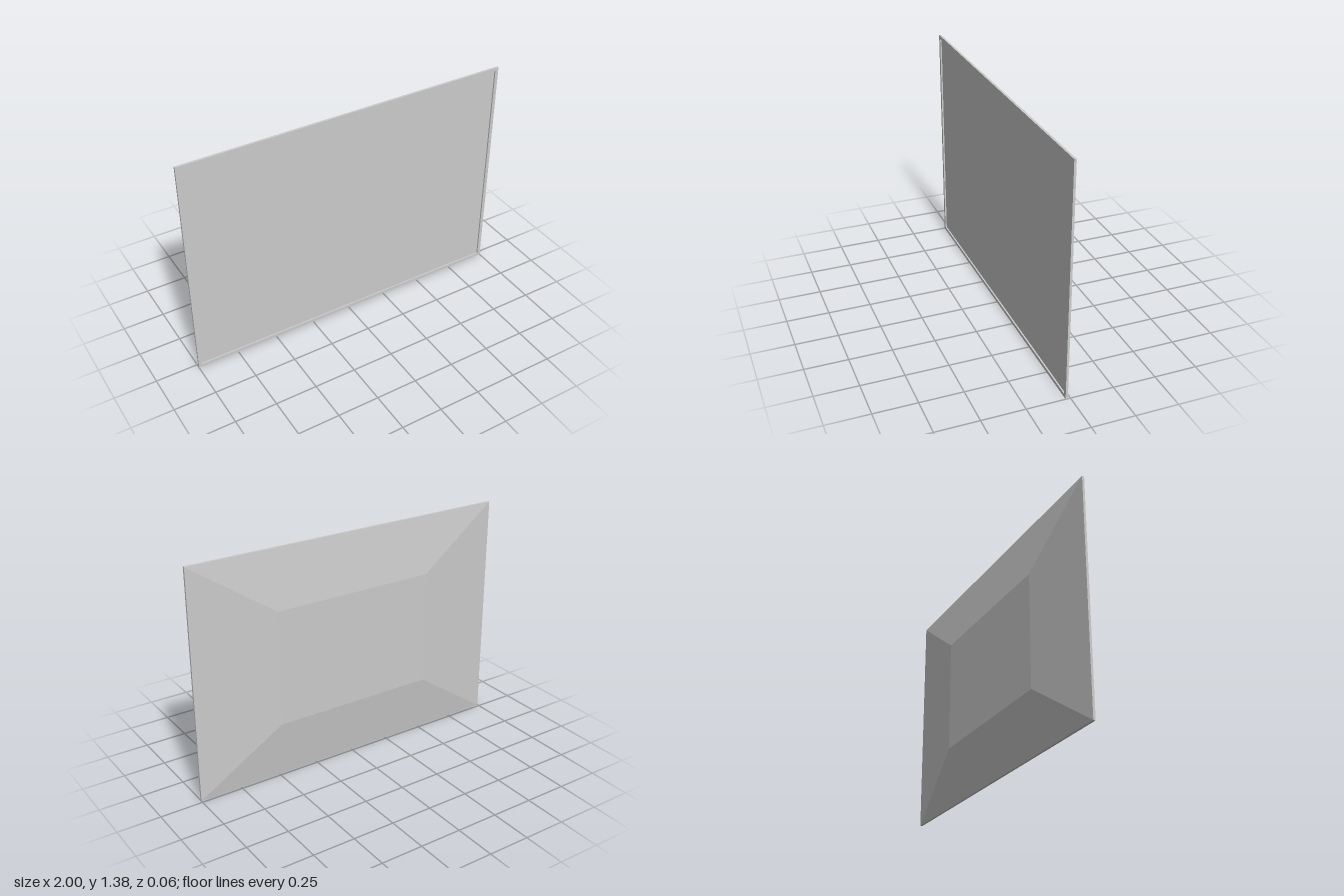
import * as THREE from 'three';

const WIDTH = 2, HEIGHT = 1.375, BORDER = 0.02;
const FRONT_Z = 0.028, FRAME_BACK_Z = 0.015, BACK_Z = -0.028, SCREEN_Z = 0.019;

// Rectangle centred on the origin, as a shape or a hole
function rectangle(PathType, w, h) {
  return new PathType([
    new THREE.Vector2(-w / 2, -h / 2), new THREE.Vector2(w / 2, -h / 2),
    new THREE.Vector2(w / 2, h / 2), new THREE.Vector2(-w / 2, h / 2),
  ]);
}

export function createModel() {
  const group = new THREE.Group();
  group.name = 'flatScreen';
  const material = new THREE.MeshStandardMaterial({ color: 0xcccccc, flatShading: true });

  function addPart(name, geometry, z) {
    const mesh = new THREE.Mesh(geometry, material);
    mesh.name = name;
    mesh.position.set(0, HEIGHT / 2, z);
    group.add(mesh);
  }

  const innerW = WIDTH - 2 * BORDER, innerH = HEIGHT - 2 * BORDER;

  // Thin border around the screen
  const frame = rectangle(THREE.Shape, WIDTH, HEIGHT);
  frame.holes.push(rectangle(THREE.Path, innerW, innerH));
  addPart('frame', new THREE.ExtrudeGeometry(frame, {
    depth: FRONT_Z - FRAME_BACK_Z, bevelEnabled: false,
  }), FRAME_BACK_Z);

  // Screen panel, set back inside the border
  const screenDepth = SCREEN_Z - FRAME_BACK_Z;
  addPart('screen', new THREE.BoxGeometry(innerW, innerH, screenDepth),
    FRAME_BACK_Z + screenDepth / 2);

  // Rear housing: shallow truncated pyramid narrowing to half size at the back
  const depth = FRAME_BACK_Z - BACK_Z;
  const housing = new THREE.CylinderGeometry(Math.SQRT1_2 / 2, Math.SQRT1_2, depth, 4)
    .rotateY(Math.PI / 4)
    .rotateX(-Math.PI / 2)
    .scale(WIDTH, HEIGHT, 1)
    .toNonIndexed();
  housing.computeVertexNormals();
  addPart('rearHousing', housing, (FRAME_BACK_Z + BACK_Z) / 2);

  return group;
}
